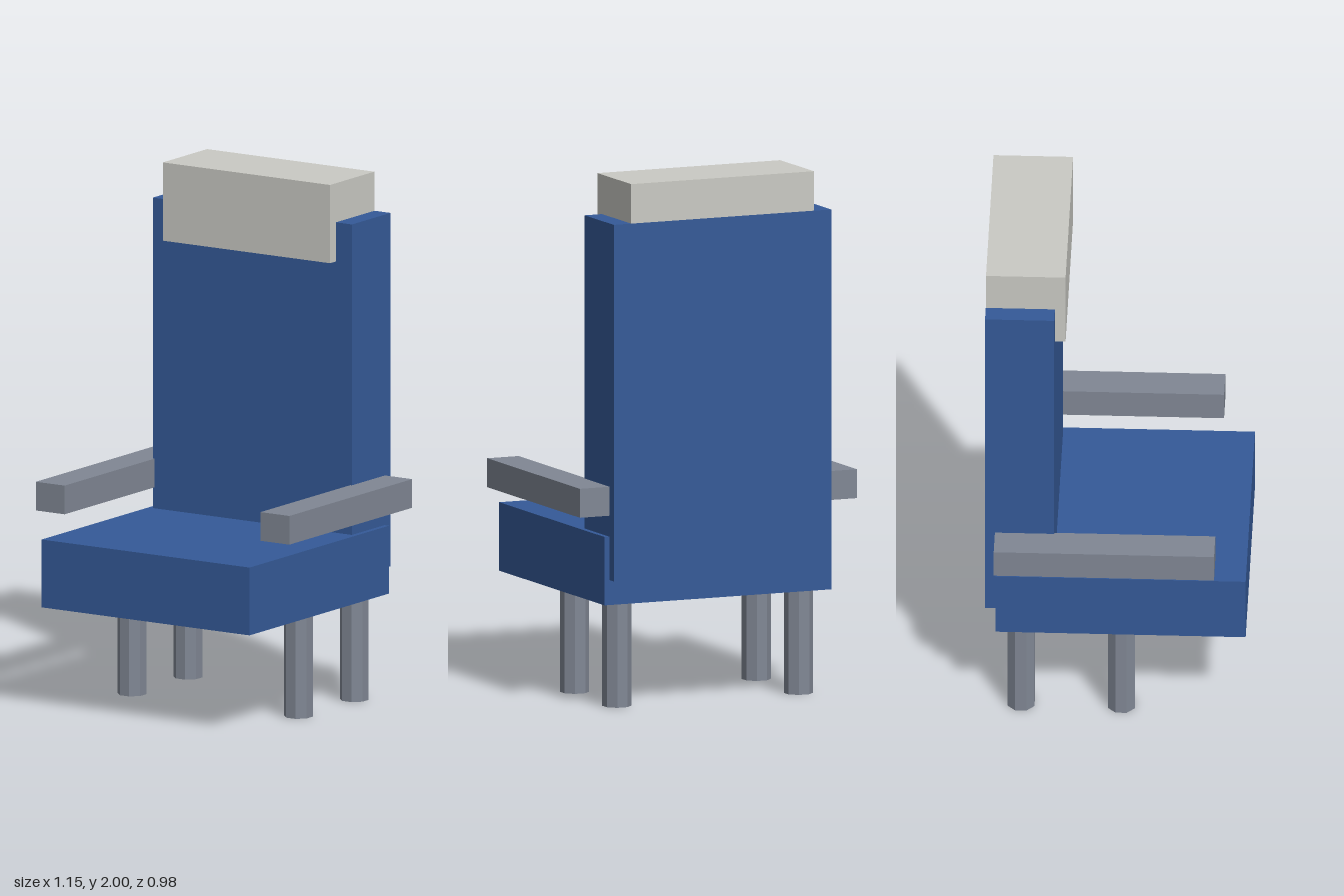
import * as THREE from 'three';

const material = (name, color) => {
  const m = new THREE.MeshStandardMaterial({ color });
  m.name = name;
  return m;
};

export function createModel() {
  const chair = new THREE.Group();
  chair.name = 'chair';
  const blue = material('blue upholstery', 0x355a98);
  const grey = material('grey frame', 0x808794);
  const cream = material('pale headrest', 0xcacac4);

  // Box given by its extents along each axis
  const box = (name, mat, [x0, x1], [y0, y1], [z0, z1]) => {
    const mesh = new THREE.Mesh(new THREE.BoxGeometry(x1 - x0, y1 - y0, z1 - z0), mat);
    mesh.position.set((x0 + x1) / 2, (y0 + y1) / 2, (z0 + z1) / 2);
    mesh.name = name;
    chair.add(mesh);
  };

  box('seat', blue, [-0.47, 0.47], [0.4, 0.66], [-0.45, 0.49]);
  box('backrest', blue, [-0.45, 0.45], [0.495, 1.85], [-0.49, -0.23]);
  box('headrest', cream, [-0.378, 0.378], [1.7, 2], [-0.489, -0.19]);
  box('leftArmrest', grey, [0.443, 0.573], [0.74, 0.85], [-0.453, 0.375]);
  box('rightArmrest', grey, [-0.573, -0.443], [0.74, 0.85], [-0.453, 0.375]);

  // Octagonal legs with flat sides turned to the front
  const legGeometry = new THREE.CylinderGeometry(0.055, 0.055, 0.41, 8).rotateY(Math.PI / 8).toNonIndexed();
  legGeometry.computeVertexNormals();
  for (const [side, x] of [['left', 0.376], ['right', -0.376]]) {
    for (const [end, z] of [['Front', 0.02], ['Rear', -0.357]]) {
      const leg = new THREE.Mesh(legGeometry, grey);
      leg.position.set(x, 0.205, z);
      leg.name = `${side}${end}Leg`;
      chair.add(leg);
    }
  }
  return chair;
}
